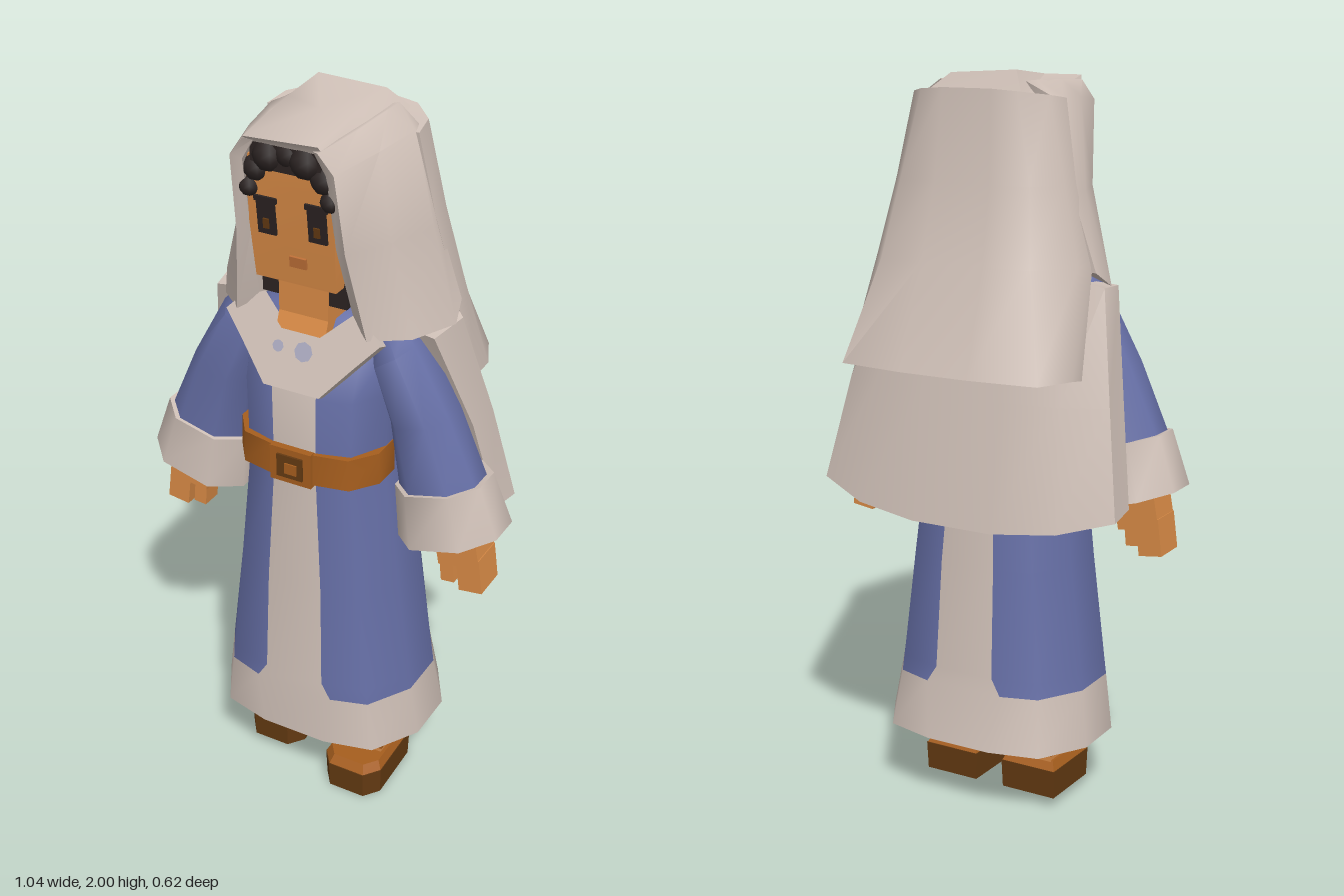
import * as THREE from 'three';
import { toCreasedNormals } from 'three/addons/utils/BufferGeometryUtils.js';

const mat = (name, color) => Object.assign(new THREE.MeshStandardMaterial({ color }), { name });
const cloth = mat('paleCloth', 0xd0c1b8);
const blue = mat('blueCloth', 0x666fa6);
const skin = mat('skin', 0xd98b46);
const leather = mat('beltLeather', 0xa65e1e);
const sole = mat('darkLeather', 0x643a12);
const dark = mat('darkHair', 0x2b2322);
const lip = mat('lips', 0xbf7038);
const gem = mat('paleBlue', 0xa9a8bd);

// Skin stacked rings (bottom to top, counter-clockwise from above), cap both ends.
// pick(level, side) may choose a material for each face; caps use levels -1 and -2.
function loft(name, rings, material, pick = () => material, crease = 1) {
  const buckets = new Map();
  const tri = (m, ...pts) => {
    if (!buckets.has(m)) buckets.set(m, []);
    pts.forEach(p => buckets.get(m).push(...p));
  };
  const n = rings[0].length;
  for (let i = 0; i < rings.length - 1; i++) {
    for (let j = 0; j < n; j++) {
      const k = (j + 1) % n, m = pick(i, j);
      const a = rings[i][j], b = rings[i][k], c = rings[i + 1][k], d = rings[i + 1][j];
      tri(m, a, b, c);
      tri(m, a, c, d);
    }
  }
  const bottom = rings[0], top = rings[rings.length - 1];
  const mid = r => [0, 1, 2].map(c => r.reduce((s, p) => s + p[c], 0) / n);
  const mb = mid(bottom), mt = mid(top);
  for (let j = 0; j < n; j++) {
    const k = (j + 1) % n;
    tri(pick(-1, j), mb, bottom[k], bottom[j]);
    tri(pick(-2, j), mt, top[j], top[k]);
  }
  const geo = new THREE.BufferGeometry(), all = [], mats = [];
  for (const [m, list] of buckets) {
    geo.addGroup(all.length / 3, list.length / 3, mats.length);
    mats.push(m);
    for (const v of list) all.push(v);
  }
  geo.setAttribute('position', new THREE.Float32BufferAttribute(all, 3));
  const mesh = new THREE.Mesh(toCreasedNormals(geo, crease), mats.length > 1 ? mats : mats[0]);
  mesh.name = name;
  return mesh;
}

// Complete a symmetric ring from its +x half, listed front to back.
const flip = ring => ring.map(([x, y, z]) => [-x, y, z]).reverse();
const both = half => [...half, ...flip(half)];

// Robe cross-section; sides 5 and 11 are the flat back and front panels of relative width u0.
const robeRing = (y, w, back, front, u0 = 0.31) => both(
  [[u0, 1], [0.75, 0.86], [1, 0.32], [1, -0.32], [0.75, -0.86], [u0, -1]]
    .map(([u, v]) => [u * w, y, (front + back) / 2 + v * (front - back) / 2]));

// Sleeve cross-section between an inner and an outer point.
const armRing = ([ix, iy], [ox, oy], z0, z1) =>
  [[0.25, 1], [0.75, 1], [1, 0.7], [1, 0.3], [0.75, 0], [0.25, 0], [0, 0.3], [0, 0.7]]
    .map(([u, v]) => [ix + (ox - ix) * u, iy + (oy - iy) * u, z0 + (z1 - z0) * v]);

function box(name, material, [w, h, d], [x, y, z], rx = 0, rz = 0) {
  const mesh = new THREE.Mesh(new THREE.BoxGeometry(w, h, d), material);
  mesh.name = name;
  mesh.position.set(x, y, z);
  mesh.rotation.set(rx, 0, rz);
  return mesh;
}

export function createModel() {
  const model = new THREE.Group();
  model.name = 'robedFigure';
  const add = (...parts) => model.add(...parts);
  const panel = j => j === 5 || j === 11;

  // Robe: pale hem and centre bands on blue, the bands flaring into the hem
  add(loft('skirt', [
    robeRing(0.2, 0.31, -0.2, 0.28), robeRing(0.355, 0.287, -0.17, 0.275, 0.4),
    robeRing(0.4, 0.281, -0.166, 0.273, 0.31), robeRing(0.7, 0.243, -0.145, 0.262, 0.33),
    robeRing(1.05, 0.2, -0.115, 0.25),
  ], blue, (i, j) => (i < 1 || panel(j) ? cloth : blue)));
  add(loft('bodice', [
    robeRing(1.04, 0.2, -0.115, 0.25), robeRing(1.28, 0.205, -0.1, 0.25),
    robeRing(1.41, 0.21, -0.08, 0.2), robeRing(1.47, 0.16, -0.05, 0.16),
  ], blue, (i, j) => (i >= 0 && panel(j) ? cloth : blue)));

  // Belt across the front, with buckle
  add(loft('belt', [robeRing(1.035, 0.207, 0, 0.262), robeRing(1.125, 0.204, 0, 0.262)], leather));
  add(box('buckle', leather, [0.12, 0.1, 0.02], [0, 1.078, 0.263]));
  add(box('bucklePlate', sole, [0.075, 0.065, 0.008], [0, 1.078, 0.275]));
  add(box('bucklePin', leather, [0.035, 0.03, 0.008], [0.005, 1.075, 0.279]));

  // V-neck collar, leaning forward towards its tip
  const outline = [[-0.15, 0.24], [-0.22, 0.165], [-0.155, 0.09], [-0.08, 0], [0.08, 0], [0.155, 0.09],
    [0.22, 0.165], [0.15, 0.24], [0.055, 0.15], [-0.055, 0.15]].map(p => new THREE.Vector2(...p));
  const collar = new THREE.Mesh(new THREE.ExtrudeGeometry(new THREE.Shape(outline),
    { depth: 0.034, bevelEnabled: false }), cloth);
  collar.name = 'collar';
  collar.position.set(0, 1.285, 0.232);
  collar.rotation.x = -0.36;
  for (const [x, r] of [[-0.055, 0.016], [0.018, 0.026]]) {
    const dot = new THREE.Mesh(new THREE.CircleGeometry(r, 8), gem);
    dot.name = 'collarDot';
    dot.position.set(x, 0.105, 0.037);
    collar.add(dot);
  }
  add(collar);

  // Neck and head
  add(box('neck', skin, [0.14, 0.2, 0.14], [0, 1.5, 0.125]));
  add(box('neckline', skin, [0.14, 0.08, 0.03], [0, 1.455, 0.188], -0.36));
  add(loft('head', [
    both([[0.112, 1.58, 0.23], [0.112, 1.58, 0.02]]),
    both([[0.122, 1.84, 0.259], [0.122, 1.84, 0.02]]),
    both([[0.108, 1.91, 0.262], [0.108, 1.91, 0.02]]),
  ], skin));
  const faceZ = y => 0.233 + (y - 1.58) * 0.108;
  for (const [x, y] of [[-0.065, 1.755], [0.075, 1.76]]) {
    add(box('eye', dark, [0.05, 0.095, 0.008], [x, y, faceZ(y)], 0.108));
    add(box('eyebrow', dark, [0.062, 0.014, 0.008], [x, y + 0.045, faceZ(y + 0.045)], 0.108));
    add(box('eyeLight', sole, [0.016, 0.026, 0.006], [x, y - 0.018, faceZ(y) + 0.003], 0.108));
  }
  add(box('mouth', lip, [0.046, 0.028, 0.008], [0.014, 1.645, faceZ(1.645)], 0.108));

  // Hair: solid back, side locks, hairline and curls over the forehead
  add(box('hairBack', dark, [0.22, 0.42, 0.14], [0, 1.73, 0.02]));
  add(box('hairline', dark, [0.19, 0.075, 0.04], [0, 1.92, 0.252]));
  for (const s of [-1, 1]) add(box('hairLock', dark, [0.055, 0.1, 0.1], [s * 0.092, 1.57, 0.14]));
  [[-0.11, 1.825, 0.026], [-0.092, 1.875, 0.036], [-0.052, 1.915, 0.042], [0, 1.925, 0.038],
    [0.05, 1.915, 0.043], [0.094, 1.878, 0.038], [0.113, 1.828, 0.027]].forEach(([x, y, r], i) => {
    const curl = new THREE.Mesh(new THREE.IcosahedronGeometry(r, 1), dark);
    curl.name = 'curl';
    curl.position.set(x, y, 0.254 - (i % 2) * 0.008);
    add(curl);
  });

  // Hood sides framing the face
  const hoodSide = [
    [[0.135, 1.49, 0.18], [0.185, 1.46, 0.21], [0.27, 1.45, 0.13], [0.335, 1.46, 0.02], [0.32, 1.5, -0.04], [0.14, 1.5, -0.04]],
    [[0.118, 1.7, 0.24], [0.15, 1.7, 0.255], [0.215, 1.7, 0.14], [0.262, 1.7, 0.01], [0.25, 1.7, -0.04], [0.13, 1.7, -0.04]],
    [[0.113, 1.9, 0.278], [0.14, 1.91, 0.29], [0.178, 1.925, 0.14], [0.2, 1.935, 0], [0.19, 1.935, -0.04], [0.12, 1.92, -0.04]],
    [[0.08, 1.955, 0.28], [0.1, 1.96, 0.295], [0.12, 1.968, 0.14], [0.125, 1.972, 0], [0.125, 1.972, -0.06], [0.09, 1.96, -0.06]],
  ];
  add(loft('hoodLeft', hoodSide, cloth), loft('hoodRight', hoodSide.map(flip), cloth));

  // Hood top, rising slightly towards the back
  add(loft('hoodTop', [
    both([[0.11, 1.948, 0.275], [0.15, 1.94, 0.05], [0.15, 1.93, -0.12]]),
    [[0.095, 1.97, 0.285], [0.085, 1.982, 0.08], [0.075, 1.99, -0.09],
      [-0.11, 2, -0.08], [-0.115, 1.985, 0.06], [-0.09, 1.972, 0.31]],
  ], cloth));

  // Upper veil hanging behind the head
  add(loft('upperVeil', [
    [[0.33, 1.24, -0.13], [0.335, 1.25, -0.19], [0.29, 1.25, -0.29], [0.1, 1.25, -0.31]],
    [[0.305, 1.52, -0.03], [0.3, 1.52, -0.1], [0.22, 1.52, -0.205], [0.09, 1.52, -0.215]],
    [[0.25, 1.72, -0.02], [0.25, 1.72, -0.08], [0.19, 1.72, -0.155], [0.08, 1.72, -0.165]],
    [[0.21, 1.93, 0], [0.2, 1.94, -0.07], [0.14, 1.95, -0.13], [0.07, 1.955, -0.14]],
  ].map(both), cloth));

  // Lower veil over the shoulders and back
  add(loft('lowerVeil', [
    [[0.34, 0.88, -0.08], [0.435, 0.9, -0.06], [0.445, 0.89, -0.16], [0.3, 0.85, -0.21], [0.12, 0.83, -0.23]],
    [[0.3, 1.17, -0.01], [0.385, 1.17, 0], [0.395, 1.17, -0.1], [0.28, 1.17, -0.16], [0.12, 1.17, -0.18]],
    [[0.2, 1.46, 0.09], [0.315, 1.45, 0.1], [0.335, 1.46, -0.02], [0.24, 1.5, -0.1], [0.1, 1.52, -0.12]],
  ].map(both), cloth));

  // Arms: sleeve, wide cuff, hand
  const sleeve = [
    armRing([0.24, 1.02], [0.455, 1.07], 0, 0.18),
    armRing([0.212, 1.2], [0.375, 1.25], 0, 0.18),
    armRing([0.16, 1.35], [0.275, 1.43], 0.01, 0.175),
    armRing([0.15, 1.42], [0.235, 1.475], 0.04, 0.155),
  ];
  const cuff = [
    armRing([0.24, 0.86], [0.52, 0.935], -0.045, 0.2),
    armRing([0.228, 1.015], [0.468, 1.078], -0.02, 0.19),
  ];
  for (const s of [-1, 1]) {
    const side = rings => (s > 0 ? rings : rings.map(flip));
    add(loft('sleeve', side(sleeve), blue), loft('cuff', side(cuff), cloth));
    const hand = new THREE.Group();
    hand.name = 'hand';
    hand.position.set(s * 0.405, 0.9, 0.08);
    hand.rotation.z = s * 0.18;
    hand.add(
      box('palm', skin, [0.118, 0.12, 0.1], [0, -0.02, 0]),
      box('fingers', skin, [0.066, 0.1, 0.1], [s * 0.026, -0.105, 0], 0, -s * 0.05),
      box('thumb', skin, [0.038, 0.07, 0.06], [-s * 0.04, -0.1, 0.015], 0, -s * 0.08));
    add(hand);
  }

  // Feet: the left one steps slightly forward
  for (const [x, y, z] of [[0.143, 0, 0.115], [-0.138, 0.032, 0.06]]) {
    const ring = (h, k) => both([[0.055, h, 0.12], [0.089, h, 0.075], [0.083, h, -0.115]]
      .map(([a, b, c]) => [a * k, b, c * k]));
    const foot = new THREE.Group();
    foot.name = 'foot';
    foot.position.set(x, y, z);
    foot.add(
      loft('shoeSole', [ring(0, 0.97), ring(0.08, 1)], sole, undefined, 0.3),
      loft('shoeUpper', [ring(0.08, 0.98), ring(0.105, 0.85)], leather, undefined, 0.3),
      box('ankle', skin, [0.13, 0.16, 0.13], [0, 0.15, -0.035]),
      box('ankleStrap', leather, [0.138, 0.03, 0.138], [0, 0.135, -0.035]));
    add(foot);
  }
  return model;
}
